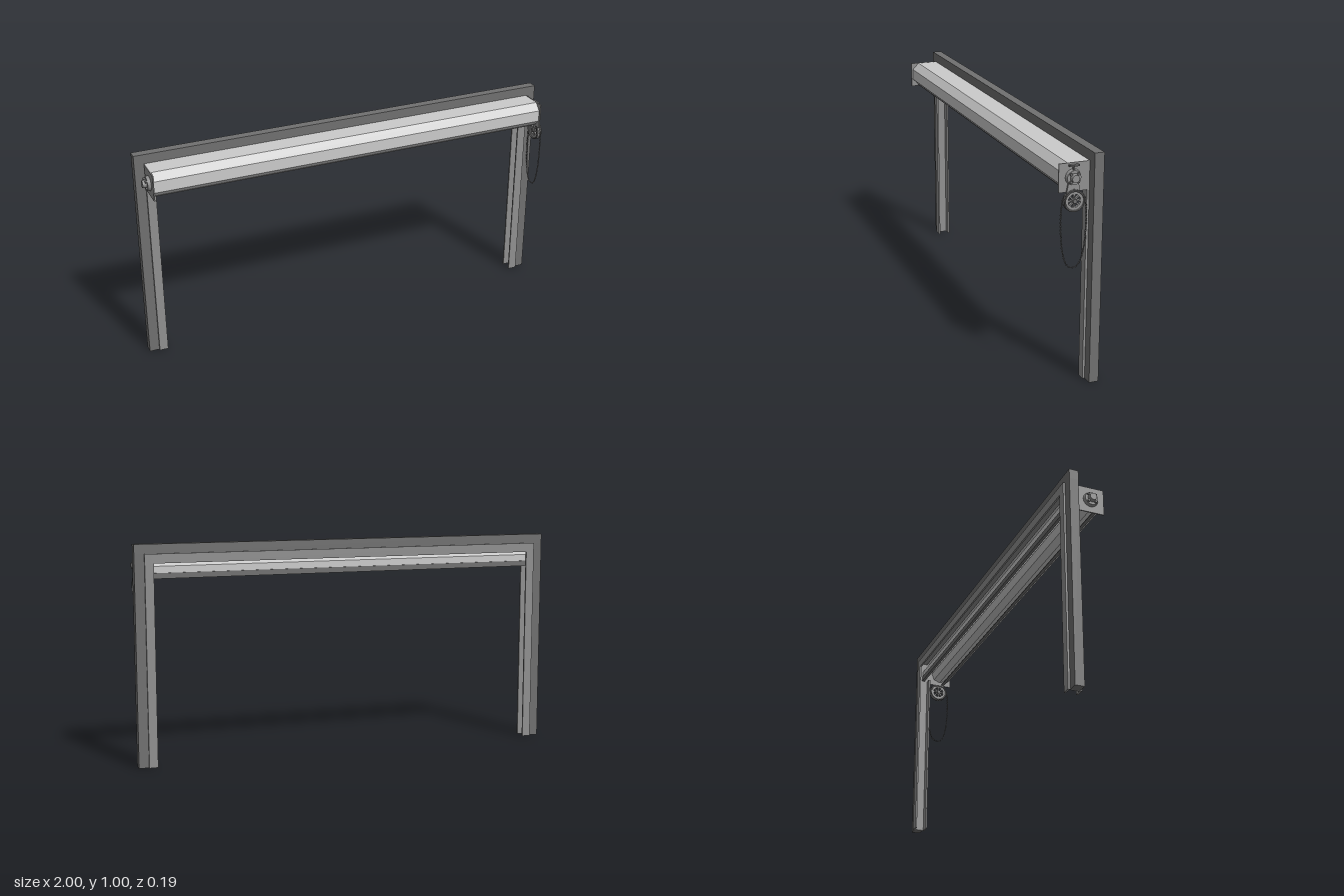
import * as THREE from 'three';
import { mergeGeometries } from 'three/addons/utils/BufferGeometryUtils.js';

const paint = (color) => new THREE.MeshStandardMaterial({ color, flatShading: true, side: THREE.DoubleSide });
const dark = paint(0x707070);
const mid = paint(0x909090);
const light = new THREE.MeshStandardMaterial({ color: 0xcccccc, flatShading: true, side: THREE.DoubleSide });

const CZ = 0.033, CY = 0.898, WY = 0.803; // shaft centre and hand wheel height

export function createModel() {
  const root = new THREE.Group();

  const add = (name, geo, mat, parent = root) => {
    const m = new THREE.Mesh(geo, mat);
    m.name = name;
    parent.add(m);
    return m;
  };
  // box given by its limits
  const box = (x0, x1, y0, y1, z0, z1) =>
    new THREE.BoxGeometry(x1 - x0, y1 - y0, z1 - z0).translate((x0 + x1) / 2, (y0 + y1) / 2, (z0 + z1) / 2);
  // profile in (z, y) extruded along x
  const alongX = (shape, x0, x1, curveSegments = 8) =>
    new THREE.ExtrudeGeometry(shape, { depth: x1 - x0, bevelEnabled: false, curveSegments })
      .rotateY(-Math.PI / 2).translate(x1, 0, 0);
  const poly = (pts) => new THREE.Shape(pts.map(([z, y]) => new THREE.Vector2(z, y)));
  // cylinder lying along x
  const disc = (r, x0, x1, z, y, sides = 24, r1 = r) =>
    new THREE.CylinderGeometry(r, r1, x1 - x0, sides).rotateZ(-Math.PI / 2).translate((x0 + x1) / 2, y, z);

  // outer frame: two posts and a header
  add('frameHeader', box(-1, 1, 0.955, 1, -0.083, -0.041), dark);
  for (const s of [-1, 1]) {
    const limits = (a, b) => (s > 0 ? [a, b] : [-b, -a]);
    add('framePost', box(...limits(0.955, 1), 0, 0.955, -0.083, -0.041), dark);

    // guide channel open towards the doorway
    const guide = new THREE.Group();
    guide.name = 'guideChannel';
    root.add(guide);
    add('guideWeb', box(...limits(0.948, 0.955), 0, 0.957, -0.092, -0.031), mid, guide);
    add('guideFrontFlange', box(...limits(0.915, 0.948), 0, 0.845, -0.039, -0.031), mid, guide);
    add('guideBackFlange', box(...limits(0.915, 0.948), 0, 0.955, -0.092, -0.084), mid, guide);

    // end plate carrying the shaft
    add('endPlate', box(...limits(0.953, 0.958), 0.837, 0.958, -0.031, 0.095), mid);

    // bearing housing with four bolted lugs
    const bearing = new THREE.Group();
    bearing.name = 'shaftBearing';
    bearing.scale.x = s;
    root.add(bearing);
    add('bearingHousing', disc(0.03, 0.958, 0.972, CZ, CY, 24, 0.034), mid, bearing);
    add('bearingCap', disc(0.016, 0.972, 0.99, CZ, CY, 24, 0.018), mid, bearing);
    for (let i = 0; i < 4; i++) {
      const a = Math.PI / 4 + (i * Math.PI) / 2;
      add('bearingBolt', disc(0.006, 0.97, 0.98, CZ + 0.023 * Math.cos(a), CY + 0.023 * Math.sin(a), 6), dark, bearing);
    }
  }

  // header channel between the guides
  add('headerBackFlange', box(-0.948, 0.948, 0.915, 0.957, -0.092, -0.084), mid);
  add('headerWeb', box(-0.948, 0.948, 0.948, 0.955, -0.084, -0.041), mid);

  // octagonal hood, open underneath
  const hood = [[-0.041, 0.957], [0.056, 0.957], [0.087, 0.925], [0.087, 0.872], [0.058, 0.845]];
  const inner = [[0.056, 0.848], [0.084, 0.873], [0.084, 0.924], [0.055, 0.954], [-0.041, 0.954]];
  add('hood', alongX(poly([...hood, ...inner]), -0.953, 0.953), light);

  // rolled curtain and its lowest slats
  add('curtainRoll', disc(0.045, -0.948, 0.948, CZ, CY, 8).translate(0, 0, 0), light);
  add('curtainDrop', alongX(poly([[-0.01, 0.91], [-0.058, 0.895], [-0.058, 0.868], [-0.064, 0.868], [-0.064, 0.9], [-0.01, 0.916]]),
    -0.945, 0.945), light);
  add('bottomBar', box(-0.945, 0.945, 0.845, 0.87, -0.068, -0.054), dark);
  add('hoodLowerLip', box(-0.953, 0.953, 0.842, 0.846, 0.045, 0.06), dark);

  // chain hoist on the left end
  const hoist = new THREE.Group();
  hoist.name = 'chainHoist';
  root.add(hoist);
  add('hoistBody', alongX(poly([[CZ - 0.02, 0.885], [CZ - 0.03, 0.835], [CZ + 0.03, 0.835], [CZ + 0.02, 0.885]]), 0.958, 0.966), mid, hoist);
  add('lockStem', box(0.962, 0.968, 0.92, 0.95, CZ - 0.004, CZ + 0.004), dark, hoist);
  add('lockHandle', box(0.958, 0.974, 0.945, 0.951, CZ - 0.021, CZ + 0.021), dark, hoist);

  // hand wheel with eight openings
  const wheel = new THREE.Shape().absarc(CZ, WY, 0.043, 0, Math.PI * 2);
  for (let i = 0; i < 8; i++) {
    const a = (i * Math.PI) / 4 + Math.PI / 8;
    const at = (r, d) => new THREE.Vector2(CZ + r * Math.cos(a + d), WY + r * Math.sin(a + d));
    wheel.holes.push(new THREE.Path([at(0.011, -0.16), at(0.027, -0.28), at(0.028, 0), at(0.027, 0.28), at(0.011, 0.16)]));
  }
  add('handWheel', alongX(wheel, 0.963, 0.977, 20), mid, hoist);
  for (const x of [0.961, 0.979]) {
    add('wheelRim', new THREE.TorusGeometry(0.042, 0.004, 6, 32).rotateY(Math.PI / 2).translate(x, WY, CZ), dark, hoist);
  }
  add('wheelHub', disc(0.009, 0.956, 0.984, CZ, WY, 12), dark, hoist);

  // hanging chain loop of alternating links
  const half = [[0.043, 0.82], [0.052, 0.79], [0.056, 0.73], [0.054, 0.66], [0.046, 0.59], [0.03, 0.537], [0.014, 0.52]];
  const side = (s) => half.map(([z, y]) => new THREE.Vector3(0.97, y, CZ + s * z));
  const path = new THREE.CatmullRomCurve3([
    new THREE.Vector3(0.97, WY + 0.043, CZ), ...side(1), new THREE.Vector3(0.97, 0.517, CZ), ...side(-1).reverse()], true);
  const links = [];
  const count = 96;
  const up = new THREE.Vector3(0, 1, 0);
  for (let i = 0; i < count; i++) {
    const link = new THREE.TorusGeometry(0.0032, 0.0013, 5, 10).scale(1, 1.4, 1);
    link.rotateY(i % 2 ? 0 : Math.PI / 2);
    link.applyQuaternion(new THREE.Quaternion().setFromUnitVectors(up, path.getTangentAt(i / count)));
    links.push(link.translate(...path.getPointAt(i / count).toArray()));
  }
  add('chain', mergeGeometries(links), dark, hoist);

  return root;
}
